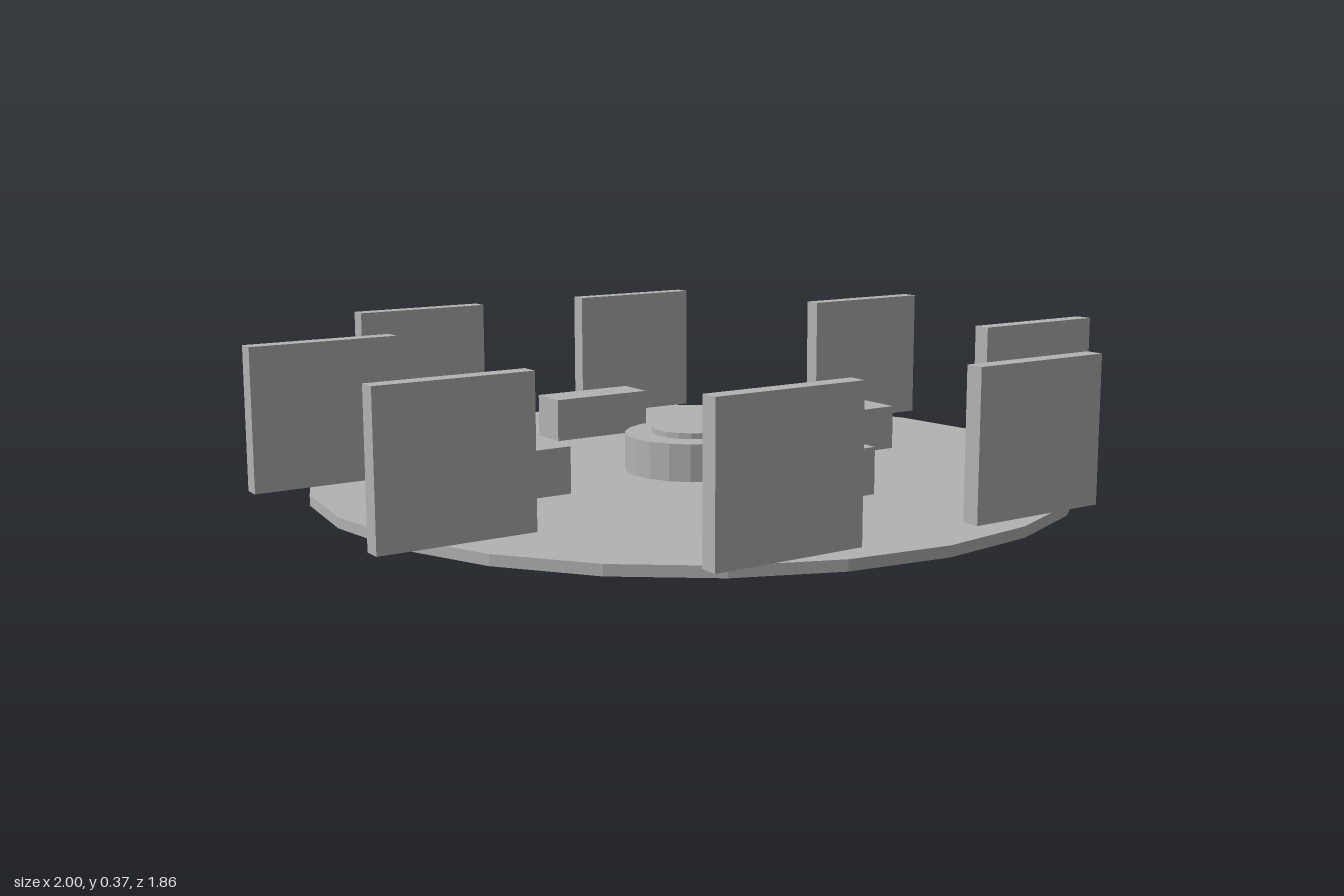
import * as THREE from 'three';

export function createModel() {
  const model = new THREE.Group();
  const grey = new THREE.MeshStandardMaterial({ color: 0xb3b3b3, flatShading: true });
  grey.name = 'plain grey';

  const add = (name, geometry, x, y, z) => {
    const mesh = new THREE.Mesh(geometry, grey);
    mesh.name = name;
    mesh.position.set(x, y, z);
    model.add(mesh);
    return mesh;
  };
  // Round slab between two heights
  const disc = (name, radius, bottom, top, sides) =>
    add(name, new THREE.CylinderGeometry(radius, radius, top - bottom, sides), 0, (bottom + top) / 2, 0);

  // Floor and stepped centre pedestal
  disc('floor', 0.93, 0, 0.025, 24);
  disc('pedestal', 0.167, 0.025, 0.116, 20);
  disc('pedestalCap', 0.1, 0.116, 0.13, 20);

  // Ring of eight upright panels, all facing the front
  const panel = new THREE.BoxGeometry(0.362, 0.341, 0.043);
  for (let i = 0; i < 8; i++) {
    const a = (i + 0.5) * Math.PI / 4;
    add('panel', panel, 0.886 * Math.cos(a), 0.1955, 0.886 * Math.sin(a));
  }

  // Four benches set around the pedestal, raised just off the floor
  const bench = new THREE.BoxGeometry(0.274, 0.109, 0.102);
  for (let i = 0; i < 4; i++) {
    const a = i * Math.PI / 2;
    add('bench', bench, 0.477 * Math.sin(a), 0.0935, 0.477 * Math.cos(a)).rotation.y = a;
  }
  return model;
}
